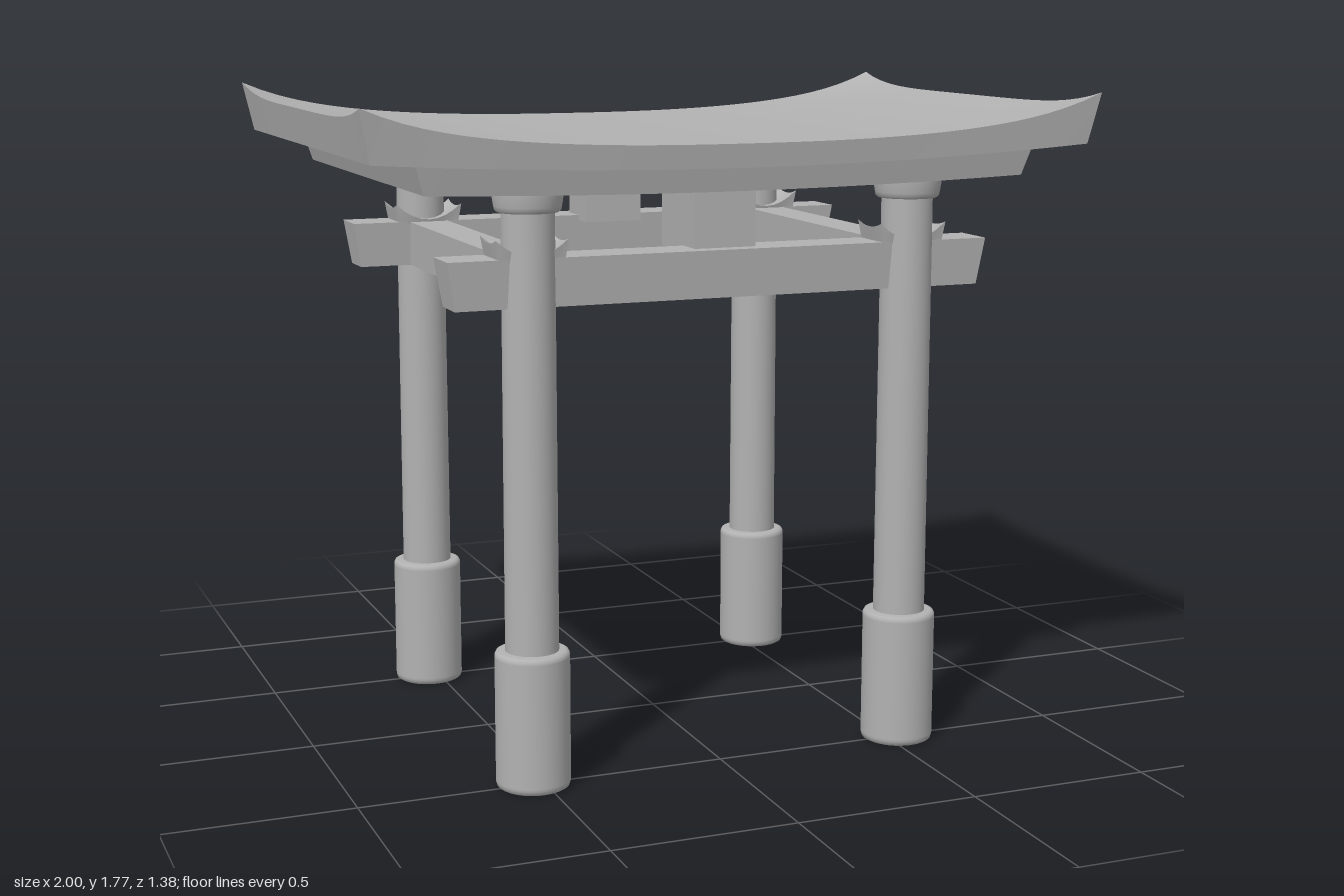
import * as THREE from 'three';

const stone = new THREE.MeshStandardMaterial({ color: 0xb2b2b2 });
stone.name = 'grey stone';

const LEG_X = 0.53, LEG_Z = 0.5, BEAM_Z = 0.472;

function add(parent, name, geometry, x = 0, y = 0, z = 0) {
  const mesh = new THREE.Mesh(geometry, stone);
  mesh.name = name;
  mesh.position.set(x, y, z);
  parent.add(mesh);
  return mesh;
}

// Unit box (x, z in -1..1, t = 0 bottom to 1 top) reshaped by a rule; edges stay sharp
function shapedBox(rule, sx = 1, sy = 1, sz = 1) {
  const g = new THREE.BoxGeometry(2, 1, 2, sx, sy, sz);
  const p = g.attributes.position;
  for (let i = 0; i < p.count; i++) {
    p.setXYZ(i, ...rule(p.getX(i), p.getY(i) + 0.5, p.getZ(i)));
  }
  g.computeVertexNormals();
  return g;
}

function lathe(points) {
  return new THREE.LatheGeometry(points.map(([r, y]) => new THREE.Vector2(r, y)), 36);
}

const mix = THREE.MathUtils.lerp;

export function createModel() {
  const model = new THREE.Group();
  model.name = 'gateway';

  // Curved roof with upswept ends and pointed corners
  add(model, 'roof', shapedBox((x, t, z) => {
    const ax = Math.abs(x), az = Math.abs(z);
    const corner = Math.pow(ax, 8) * Math.pow(az, 5);
    const top = 1.667 + 0.07 * Math.pow(ax, 2.6) + 0.038 * corner;
    const bottom = 1.606 + 0.034 * ax * ax;
    return [
      x * mix(0.972, 0.99 + 0.01 * corner, t),
      mix(bottom, top, t),
      z * mix(0.672, 0.68 + 0.01 * corner, t),
    ];
  }, 40, 2, 28));

  // Narrower lintel slab beneath the roof
  add(model, 'lintelSlab', shapedBox((x, t, z) => [
    x * mix(0.822, 0.845, t),
    mix(1.54 + 0.016 * x * x, 1.612 + 0.02 * x * x, t),
    z * mix(0.59, 0.605, t),
  ], 24, 1, 1));

  // Four legs: footing, pillar and capital, with small bevels
  const footing = lathe([[0, 0], [0.088, 0], [0.095, 0.004], [0.098, 0.014], [0.098, 0.02],
    [0.098, 0.35], [0.098, 0.356], [0.094, 0.364], [0.086, 0.367], [0.06, 0.367]]);
  const pillar = lathe([[0.07, 0.36], [0.068, 1.52]]);
  const capital = lathe([[0.06, 1.5], [0.078, 1.5], [0.084, 1.505], [0.086, 1.515],
    [0.09, 1.54], [0.09, 1.56]]);
  // Flared wedge around the pillar on top of the beam, hollowed toward the middle
  const wedge = shapedBox((x, t, z) => [
    x * mix(0.085, 0.096, t),
    mix(1.365, 1.39 + 0.032 * x * x + 0.012 * x * x * z * z, t),
    z * mix(0.06, 0.067, t),
  ], 8, 1, 8);
  for (const sx of [1, -1]) {
    for (const sz of [1, -1]) {
      const leg = new THREE.Group();
      leg.name = 'leg';
      add(leg, 'footing', footing);
      add(leg, 'pillar', pillar);
      add(leg, 'capital', capital);
      leg.position.set(sx * LEG_X, 0, sz * LEG_Z);
      model.add(leg);
      add(model, 'wedge', wedge, sx * LEG_X, 0, sz * BEAM_Z);
    }
  }

  // Front and back tie beams with slanted ends, flaring slightly upward
  const longBeam = shapedBox((x, t, z) => [
    x * mix(0.73, 0.75, t),
    mix(1.26, 1.385, t),
    z * mix(0.053, 0.063, t),
  ]);
  for (const s of [1, -1]) add(model, 'longBeam', longBeam, 0, 0, s * BEAM_Z);

  // Side tie beams between the legs
  const sideBeam = new THREE.BoxGeometry(0.11, 0.123, 2 * LEG_Z - 0.08);
  for (const s of [1, -1]) add(model, 'sideBeam', sideBeam, s * LEG_X, 1.3225, 0);

  // Centre struts between the tie beams and the lintel slab
  add(model, 'frontStrut', new THREE.BoxGeometry(0.17, 0.18, 0.23), 0.01, 1.46, 0.375);
  add(model, 'backStrut', new THREE.BoxGeometry(0.17, 0.18, 0.145), 0.01, 1.46, -0.4175);

  return model;
}
